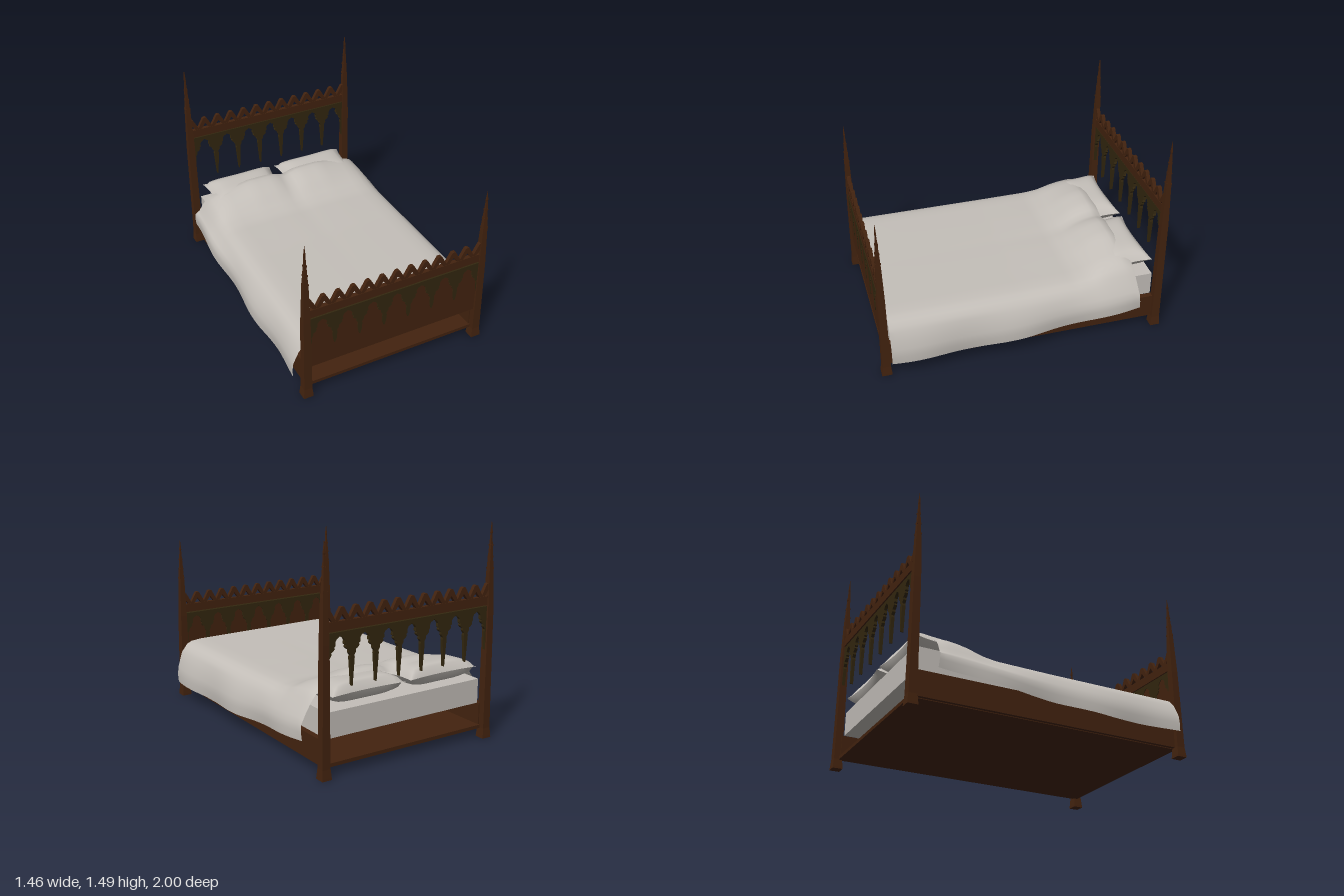
import * as THREE from 'three';

const wood = new THREE.MeshStandardMaterial({ color: 0x43230f });
wood.name = 'brown wood';
const darkWood = new THREE.MeshStandardMaterial({ color: 0x33270f });
darkWood.name = 'dark carved wood';
const linen = new THREE.MeshStandardMaterial({ color: 0xc4bfb9, side: THREE.DoubleSide });
linen.name = 'pale linen';

function add(parent, name, geometry, material, x = 0, y = 0, z = 0) {
  const mesh = new THREE.Mesh(geometry, material);
  mesh.name = name;
  mesh.position.set(x, y, z);
  parent.add(mesh);
  return mesh;
}

const box = (w, h, d) => new THREE.BoxGeometry(w, h, d);

// Flat plate cut from an outline, centred in depth
function plate(points, depth) {
  const shape = new THREE.Shape(points.map(([x, y]) => new THREE.Vector2(x, y)));
  return new THREE.ExtrudeGeometry(shape, { depth, bevelEnabled: false }).translate(0, 0, -depth / 2);
}

// Repeats a half motif and its mirror along a board; end motifs keep only the inner half
function repeatHalves(parent, name, geometry, material, spacing, count, y, z) {
  const row = new THREE.Group();
  row.name = name;
  parent.add(row);
  for (let i = 0; i < count; i++) {
    const x = (i - (count - 1) / 2) * spacing;
    for (const side of [1, -1]) {
      if (Math.abs(x + side * 0.03) > 0.64) continue;
      add(row, name + 'Half', geometry, material, x, y, z).rotation.y = side > 0 ? 0 : Math.PI;
    }
  }
}

// Square tapering post with a needle spire and small crockets
function post(parent, x, z, shoulder, tip) {
  const g = new THREE.Group();
  g.name = 'post';
  g.position.set(x, 0, z);
  parent.add(g);
  const span = tip - shoulder;
  const profile = [
    [0, 0], [0.035, 0], [0.034, 0.015], [0.029, 0.07], [0.027, 0.3], [0.024, shoulder],
    [0.017, shoulder + span * 0.45], [0.005, shoulder + span * 0.85], [0.006, shoulder + span * 0.87], [0, tip],
  ].map(([h, y]) => new THREE.Vector2(h * Math.SQRT2, y));
  const geometry = new THREE.LatheGeometry(profile, 4).rotateY(Math.PI / 4).toNonIndexed();
  geometry.computeVertexNormals();
  add(g, 'postShaft', geometry, wood);
  for (const t of [0.5, 0.62, 0.74]) {
    const r = 0.017 - (t - 0.45) * 0.03;
    for (const sx of [1, -1]) for (const sz of [1, -1]) {
      add(g, 'crocket', box(0.005, 0.012, 0.005), wood, sx * r, shoulder + span * t, sz * r);
    }
  }
}

// Rail, gable cresting and hanging tracery shared by both end boards
function endBoard(parent, name, z, top, pendant, depth) {
  const g = new THREE.Group();
  g.name = name;
  parent.add(g);
  add(g, 'topRail', box(1.25, 0.06, 0.03), wood, 0, top - 0.03, z);
  add(g, 'tracRail', box(1.25, 0.024, depth), darkWood, 0, top - 0.08, z);
  const gable = plate([
    [0, 0.043], [0.032, 0], [0.053, 0], [0.053, 0.014], [0.013, 0.085], [0, 0.088],
  ], 0.026);
  repeatHalves(g, 'gable', gable, wood, 0.105, 13, top - 0.003, z);
  const tracery = plate([
    [0, 0], [0, -pendant], [0.003, -pendant], [0.013, -0.2], [0.017, -0.15], [0.014, -0.135],
    [0.027, -0.115], [0.026, -0.1], [0.04, -0.092], [0.052, -0.078], [0.047, -0.066],
    [0.058, -0.058], [0.056, -0.035], [0.066, -0.018], [0.082, -0.01], [0.09, -0.003], [0.09, 0],
  ], depth);
  repeatHalves(g, 'tracery', tracery, darkWood, 0.18, 8, top - 0.09, z);
  return g;
}

// Smooth surface over a grid of points returned by fn(u, v)
function sheet(fn, nu, nv) {
  const geometry = new THREE.PlaneGeometry(1, 1, nu, nv);
  const p = geometry.attributes.position;
  for (let i = 0; i < p.count; i++) p.setXYZ(i, ...fn(p.getX(i) + 0.5, p.getY(i) + 0.5));
  geometry.computeVertexNormals();
  return geometry;
}

// Piecewise linear lookup in rising key points
function lookup(keys, t) {
  for (let i = 1; i < keys.length; i++) {
    const [a, va] = keys[i - 1], [b, vb] = keys[i];
    if (t <= b) return THREE.MathUtils.lerp(va, vb, Math.max(0, (t - a) / (b - a)));
  }
  return keys[keys.length - 1][1];
}

// Blanket height along z, and hem height on the +x side
const crown = [[-0.82, 0.54], [-0.75, 0.582], [-0.66, 0.565], [-0.58, 0.535], [-0.48, 0.475],
  [-0.38, 0.448], [0, 0.437], [0.93, 0.43]];
const hem = [[-0.82, 0.215], [-0.6, 0.195], [-0.3, 0.165], [0, 0.14], [0.4, 0.12], [0.93, 0.12]];

function blanketPoint(u, v) {
  const s = u * 2 - 1, a = Math.abs(s), side = Math.sign(s);
  let z = THREE.MathUtils.lerp(0.93, -0.8, v);
  const top = lookup(crown, z), rise = top - 0.43;
  const low = lookup(hem, z) + (side < 0 ? 0.04 : 0);
  const dip = rise * 0.25 * Math.exp(-((s / 0.08) ** 2));
  // across the bed, over the edge, then down to the hem
  const x = lookup([[0, 0], [0.55, 0.52], [0.65, 0.6], [0.7, 0.635], [0.8, 0.68], [0.92, 0.722], [1, 0.715]], a);
  const y = lookup([[0, top - dip], [0.3, top], [0.55, top - rise * 0.3], [0.65, top - 0.008 - rise * 0.5],
    [0.7, 0.405 + rise * 0.3], [0.8, 0.35 + rise * 0.2], [0.92, low + 0.09], [1, low]], a);
  // the turned edge reaches further back at the sides
  z -= Math.max(0, v - 0.8) * 5 * (0.04 * a * a - 0.02);
  const wave = a > 0.75 ? 0.012 * Math.sin(z * 9 + side) * (a - 0.75) * 4 : 0;
  return [side * (x + wave), y, z];
}

// Pillow half: up = 1 top, up = -1 underside, with pinched corners
function pillowPoint(up) {
  return (u, v) => {
    const a = u * 2 - 1, b = v * 2 - 1;
    const puff = Math.sqrt(Math.max(0, (1 - a ** 4) * (1 - b ** 4)));
    const x = a * 0.28 * (1 - 0.07 * (1 - b * b));
    const z = -b * 0.15 * (1 - 0.16 * (1 - a * a));
    return [x, up * 0.07 * puff, z];
  };
}

export function createModel() {
  const bed = new THREE.Group();
  bed.name = 'bed';

  // Posts
  for (const x of [-0.648, 0.648]) {
    post(bed, x, 0.965, 0.62, 1.2);
    post(bed, x, -0.965, 0.85, 1.485);
  }

  // Head and foot boards
  endBoard(bed, 'headboard', -0.965, 0.985, 0.33, 0.022);
  const foot = endBoard(bed, 'footboard', 0.965, 0.705, 0.23, 0.034);
  add(foot, 'footPanel', box(1.25, 0.395, 0.026), wood, 0, 0.4375, 0.965);

  // Base slab and side rails
  add(bed, 'baseSlab', box(1.25, 0.024, 1.92), wood, 0, 0.077, 0);
  for (const x of [-0.63, 0.63]) add(bed, 'sideRail', box(0.036, 0.17, 1.9), wood, x, 0.155, 0);

  // Bedding
  add(bed, 'mattress', box(1.22, 0.17, 1.86), linen, 0, 0.325, -0.005);
  add(bed, 'blanket', sheet(blanketPoint, 40, 48), linen);
  for (const x of [-0.305, 0.295]) {
    const pillow = new THREE.Group();
    pillow.name = 'pillow';
    pillow.position.set(x, 0.492, -0.795);
    pillow.rotation.x = 0.08;
    bed.add(pillow);
    add(pillow, 'pillowTop', sheet(pillowPoint(1), 16, 12), linen);
    add(pillow, 'pillowUnderside', sheet(pillowPoint(-1), 16, 12), linen);
  }
  return bed;
}
